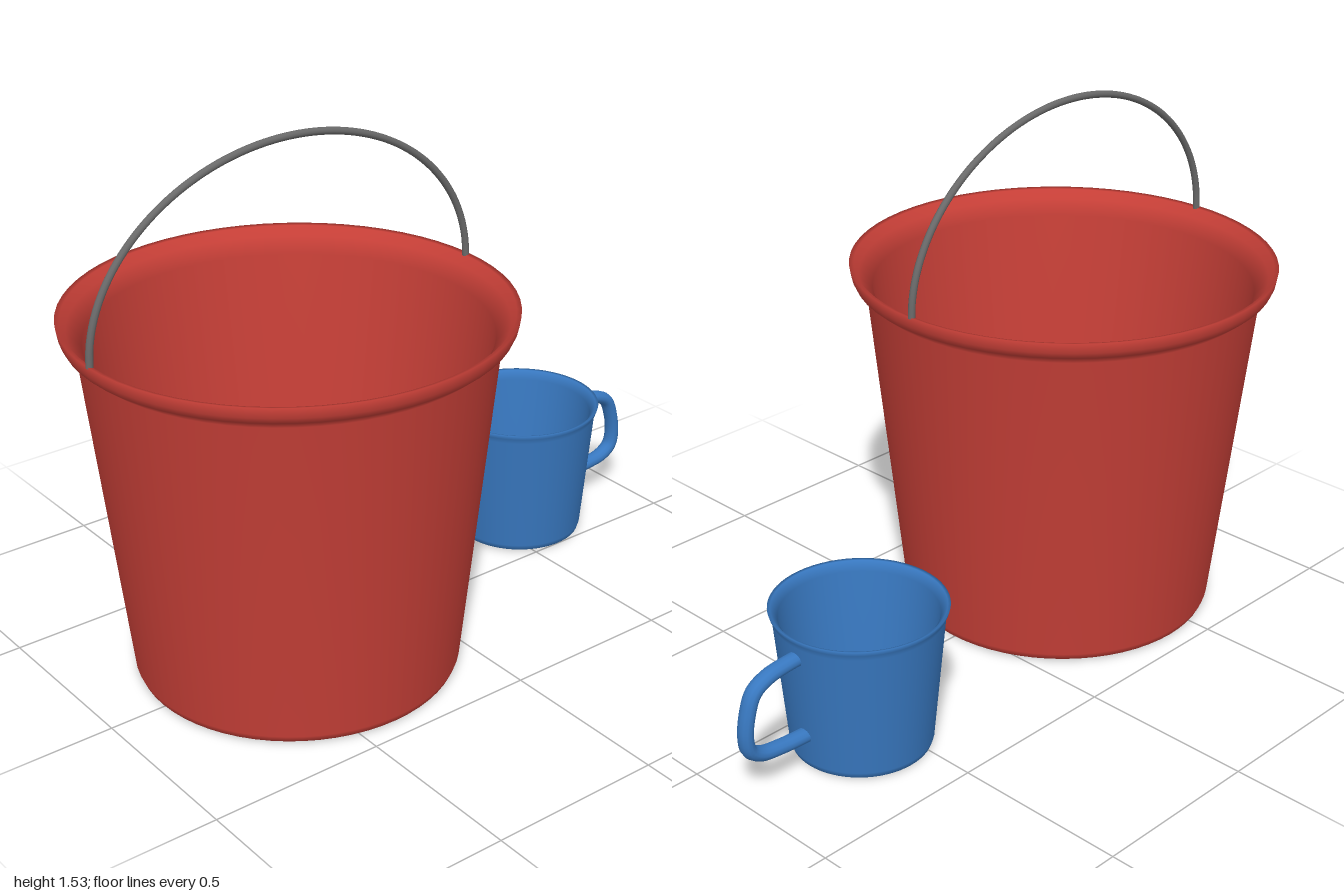
import * as THREE from 'three';

const red = new THREE.MeshStandardMaterial({ name: 'red enamel', color: 0xc63f37 });
const blue = new THREE.MeshStandardMaterial({ name: 'blue enamel', color: 0x3878c0 });
const grey = new THREE.MeshStandardMaterial({ name: 'grey wire', color: 0x6a6a6a });

function addMesh(parent, name, geometry, material) {
  const mesh = new THREE.Mesh(geometry, material);
  mesh.name = name;
  parent.add(mesh);
  return mesh;
}

// Closed vessel: profile runs up the outside, over the rim and down the inside
function vessel(profile) {
  return new THREE.LatheGeometry(profile.map(([r, y]) => new THREE.Vector2(r, y)), 64);
}

export function createModel() {
  const model = new THREE.Group();
  model.name = 'bucketAndMug';

  // Bucket with flared rim
  const bucket = new THREE.Group();
  bucket.name = 'bucket';
  bucket.position.set(-0.393, 0, 0);
  model.add(bucket);
  addMesh(bucket, 'bucketBody', vessel([
    [0, 0], [0.43, 0], [0.445, 0.006], [0.453, 0.025],
    [0.558, 0.98], [0.592, 1.008], [0.6, 1.025], [0.605, 1.055],
    [0.592, 1.052], [0.578, 1.025], [0.54, 0.985],
    [0.44, 0.04], [0.425, 0.02], [0, 0.02],
  ]), red);

  // Arched wire bail standing on the rim
  const arch = [];
  for (let i = 0; i <= 32; i++) {
    const a = Math.PI * i / 32;
    arch.push(new THREE.Vector3(-0.597 * Math.cos(a), 1.05 + 0.467 * Math.sin(a), 0));
  }
  addMesh(bucket, 'bucketBail',
    new THREE.TubeGeometry(new THREE.CatmullRomCurve3(arch), 80, 0.01, 10), grey);

  // Mug with small lip
  const mug = new THREE.Group();
  mug.name = 'mug';
  mug.position.set(0.583, 0, -0.185);
  model.add(mug);
  addMesh(mug, 'mugBody', vessel([
    [0, 0], [0.18, 0], [0.189, 0.004], [0.194, 0.02],
    [0.228, 0.385], [0.235, 0.402], [0.239, 0.416],
    [0.231, 0.414], [0.213, 0.39],
    [0.183, 0.03], [0.174, 0.014], [0, 0.014],
  ]), blue);

  // D-shaped handle, slightly wider than it is thick
  const path = new THREE.CatmullRomCurve3([
    [0.217, 0.347], [0.26, 0.345], [0.315, 0.337], [0.363, 0.312], [0.386, 0.26],
    [0.396, 0.19], [0.386, 0.148], [0.35, 0.122], [0.28, 0.11], [0.195, 0.105],
  ].map(([x, y]) => new THREE.Vector3(x, y, 0)));
  const handle = addMesh(mug, 'mugHandle', new THREE.TubeGeometry(path, 48, 0.02, 12), blue);
  handle.scale.z = 1.2;

  return model;
}
